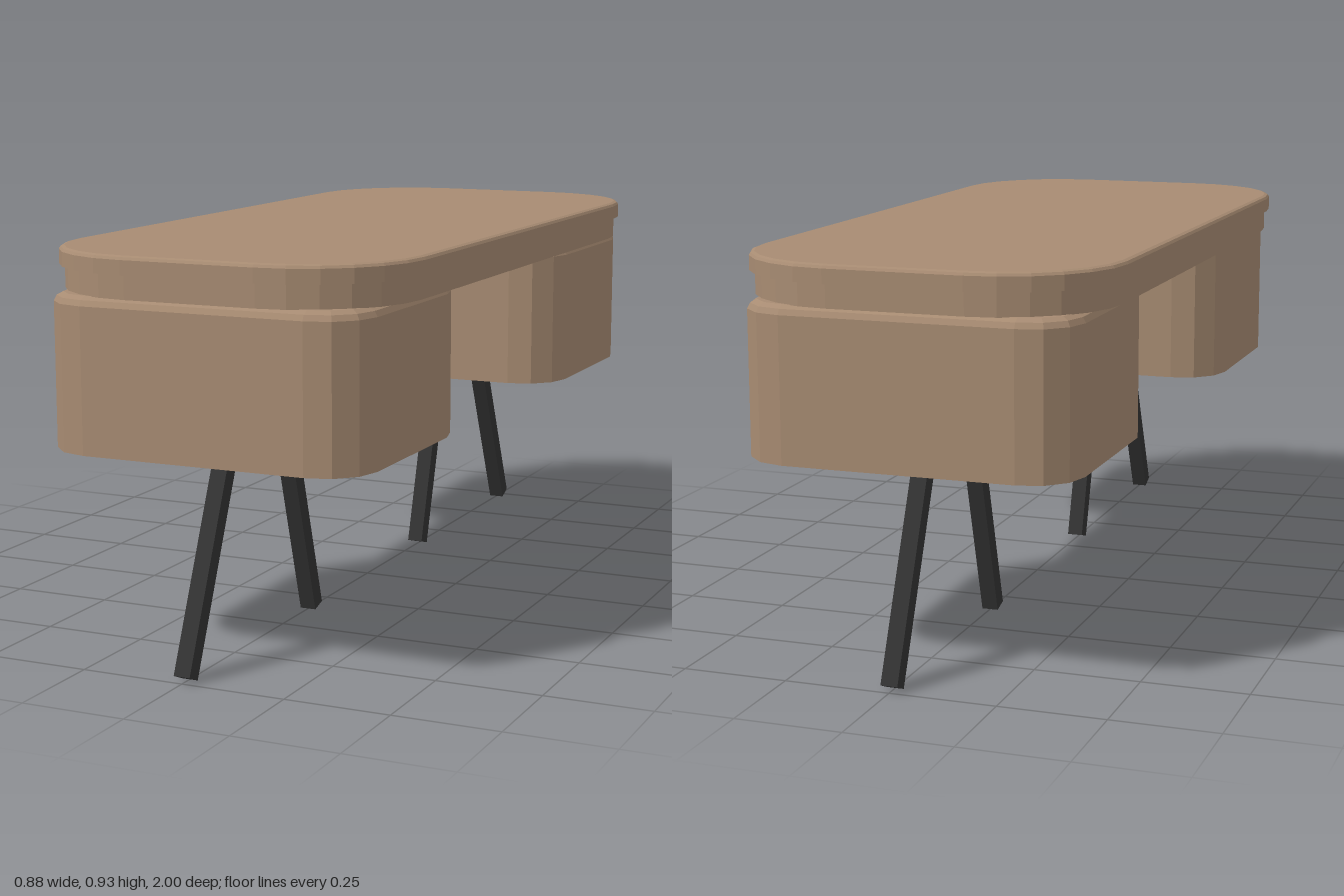
import * as THREE from 'three';

// Corner points of a rounded rectangle, running from +x towards +z
function outline(hx, hz, r, segs) {
  const pts = [];
  const corners = [[1, 1], [-1, 1], [-1, -1], [1, -1]];
  corners.forEach(([sx, sz], q) => {
    for (let i = 0; i <= segs; i++) {
      const a = (q + i / segs) * Math.PI / 2;
      pts.push([sx * (hx - r) + r * Math.cos(a), sz * (hz - r) + r * Math.sin(a)]);
    }
  });
  return pts;
}

// Closed rounded block lofted through levels of [height, inset]
function roundedBlock(hx, hz, r, segs, levels) {
  const pos = [], idx = [];
  const n = 4 * (segs + 1);
  for (const [y, inset] of levels) {
    for (const [x, z] of outline(hx - inset, hz - inset, r - inset, segs)) pos.push(x, y, z);
  }
  for (let l = 0; l < levels.length - 1; l++) {
    for (let i = 0; i < n; i++) {
      const a = l * n + i, b = l * n + (i + 1) % n;
      idx.push(a, a + n, b, b, a + n, b + n);
    }
  }
  const last = (levels.length - 1) * n;
  for (let i = 1; i < n - 1; i++) {
    idx.push(0, i, i + 1); // underside
    idx.push(last, last + i + 1, last + i); // top
  }
  const g = new THREE.BufferGeometry();
  g.setAttribute('position', new THREE.Float32BufferAttribute(pos, 3));
  g.setIndex(idx);
  const flat = g.toNonIndexed();
  flat.computeVertexNormals();
  return flat;
}

export function createModel() {
  const wood = new THREE.MeshStandardMaterial({ color: 0xa78b72 });
  wood.name = 'wood';
  const metal = new THREE.MeshStandardMaterial({ color: 0x333333 });
  metal.name = 'dark metal';

  const model = new THREE.Group();
  model.name = 'desk';
  const add = (name, geometry, material) => {
    const mesh = new THREE.Mesh(geometry, material);
    mesh.name = name;
    model.add(mesh);
    return mesh;
  };

  // Two-layer top, the upper layer slightly overhanging
  add('tabletop', roundedBlock(0.442, 0.955, 0.28, 6,
    [[0.89, 0], [0.924, 0], [0.93, 0.004], [0.933, 0.012]]), wood);
  add('topApron', roundedBlock(0.43, 0.943, 0.27, 6, [[0.835, 0], [0.89, 0]]), wood);

  // Thin panel joining the pedestals
  add('centerBeam', new THREE.BoxGeometry(0.05, 0.145, 0.64), wood).position.y = 0.7625;

  // Leg as a square bar from foot to its socket, cut square at the ends
  const addLeg = (name, footZ, footY, topZ) => {
    const foot = new THREE.Vector3(0, footY, footZ);
    const top = new THREE.Vector3(0, 0.5, topZ);
    const leg = add(name, new THREE.BoxGeometry(0.04, foot.distanceTo(top), 0.04), metal);
    leg.position.copy(foot).add(top).multiplyScalar(0.5);
    leg.rotation.x = Math.atan2(topZ - footZ, 0.5 - footY);
  };

  // Pedestals and splayed legs at both ends
  for (const [end, s] of [['front', 1], ['back', -1]]) {
    add(end + 'Pedestal', roundedBlock(0.393, 0.32, 0.12, 3,
      [[0.478, 0], [0.815, 0], [0.828, 0.007], [0.836, 0.022]]), wood).position.z = s * 0.625;
    addLeg(end + 'OuterLeg', s * 0.982, 0.008, s * 0.769);
    addLeg(end + 'InnerLeg', s * 0.341, 0.006, s * 0.488);
  }
  return model;
}
